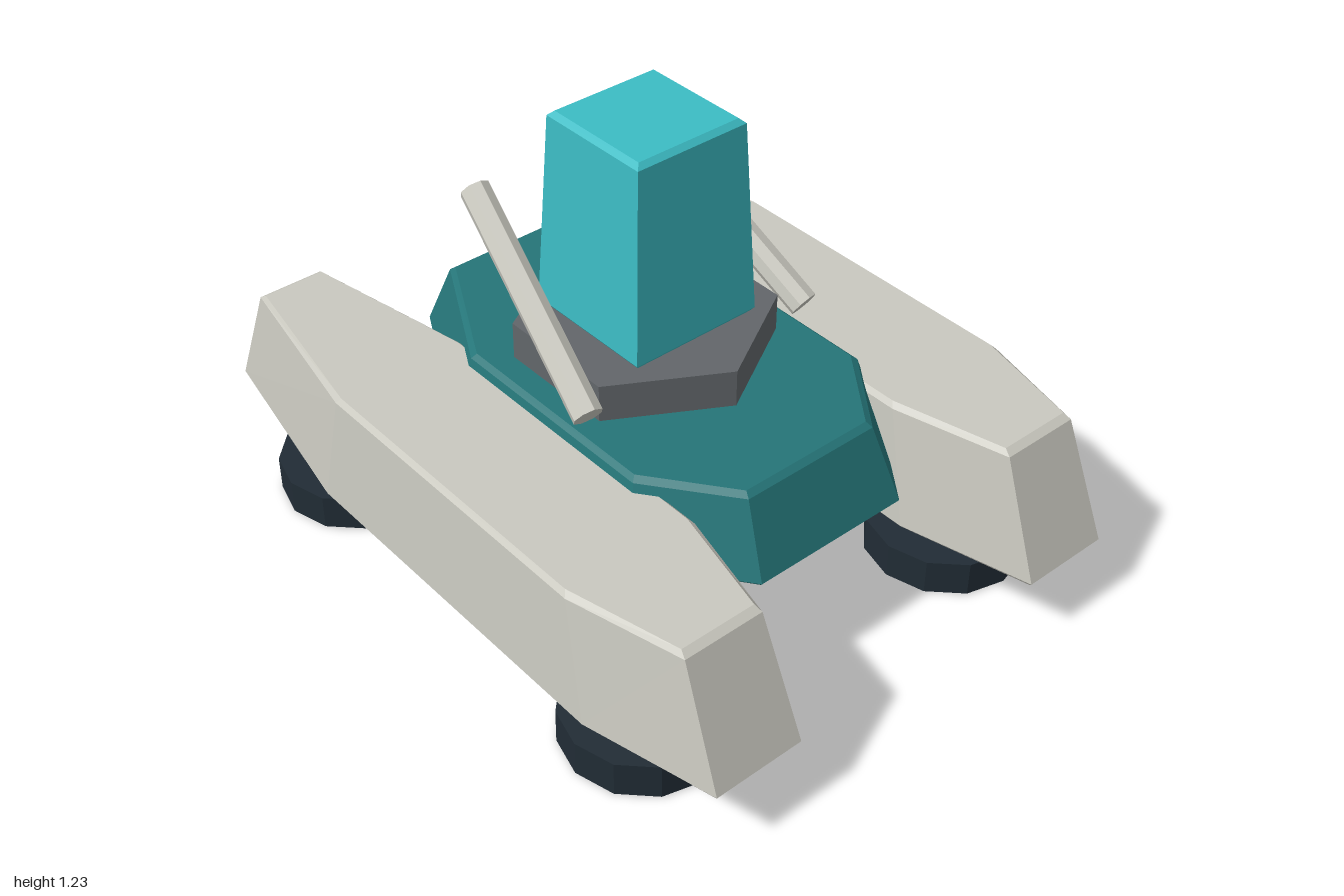
import * as THREE from 'three';

const mat = (name, color) => {
  const m = new THREE.MeshStandardMaterial({ color });
  m.name = name;
  return m;
};

// Flat-shaded solid stacked from scaled copies of one outline; levels are [y, scaleX, scaleZ]
function loft(outline, levels) {
  const rings = levels.map(([y, sx, sz]) => outline.map(([x, z]) => [x * sx, y, z * sz]));
  const n = outline.length, last = rings[rings.length - 1], pos = [];
  const tri = (a, b, c) => pos.push(...a, ...b, ...c);
  for (let r = 0; r < rings.length - 1; r++) {
    for (let i = 0; i < n; i++) {
      const j = (i + 1) % n;
      tri(rings[r][i], rings[r][j], rings[r + 1][j]);
      tri(rings[r][i], rings[r + 1][j], rings[r + 1][i]);
    }
  }
  for (let i = 1; i < n - 1; i++) {
    tri(last[0], last[i], last[i + 1]);
    tri(rings[0][0], rings[0][i + 1], rings[0][i]);
  }
  const g = new THREE.BufferGeometry();
  g.setAttribute('position', new THREE.Float32BufferAttribute(pos, 3));
  g.computeVertexNormals();
  return g;
}

// Eight-sided boat plan with a wider front end (f) and narrower back end (b)
const boatPlan = (f, b) => [
  [-f, 1], [f, 1], [1, 0.64], [1, -0.41], [b, -1], [-b, -1], [-1, -0.41], [-1, 0.64],
];
const squarePlan = [[-1, 1], [1, 1], [1, -1], [-1, -1]];

export function createModel() {
  const model = new THREE.Group();
  model.name = 'hoverTank';
  const shell = mat('paleGrey', 0xc9c8bf);
  const teal = mat('darkTeal', 0x257578);
  const cyan = mat('brightTeal', 0x3cbcc4);
  const steel = mat('steelGrey', 0x62666a);
  const navy = mat('navy', 0x212c35);

  const add = (parent, name, geometry, material, x = 0, y = 0, z = 0) => {
    const mesh = new THREE.Mesh(geometry, material);
    mesh.name = name;
    mesh.position.set(x, y, z);
    parent.add(mesh);
    return mesh;
  };
  const flat = (g) => {
    const f = g.toNonIndexed();
    f.computeVertexNormals();
    return f;
  };

  // Central hull, turret ring and cabin
  add(model, 'hull', loft(boatPlan(0.55, 0.48), [
    [0.345, 0.412, 0.682], [0.355, 0.42, 0.69], [0.548, 0.372, 0.607], [0.56, 0.358, 0.59],
  ]), teal);
  add(model, 'turretRing', flat(new THREE.CylinderGeometry(0.34, 0.34, 0.107, 6)), steel, 0, 0.611, 0);
  add(model, 'cabin', loft(squarePlan, [
    [0.676, 0.185, 0.185], [0.687, 0.193, 0.193], [1.217, 0.168, 0.168], [1.23, 0.154, 0.154],
  ]), cyan);

  const pontoonGeo = loft(boatPlan(0.59, 0.485), [
    [0.185, 0.209, 0.992], [0.195, 0.217, 1], [0.512, 0.192, 0.872], [0.525, 0.18, 0.852],
  ]);
  const padGeo = flat(new THREE.CylinderGeometry(0.215, 0.215, 0.099, 12));
  const glowGeo = new THREE.RingGeometry(0.187, 0.209, 12).rotateX(Math.PI / 2);

  for (const [side, s] of [['left', 1], ['right', -1]]) {
    // Side pontoon
    add(model, side + 'Pontoon', pontoonGeo, shell, s * 0.52);

    // Hover pads with a thin bright ring underneath
    for (const [end, z] of [['Front', 0.607], ['Back', -0.607]]) {
      const pad = new THREE.Group();
      pad.name = side + end + 'HoverPad';
      pad.position.set(s * 0.52, 0, z);
      add(pad, 'padDisc', padGeo, navy, 0, 0.0515, 0);
      add(pad, 'padRing', glowGeo, cyan, 0, 0, 0);
      model.add(pad);
    }

    // Slanted rod beside the cabin
    const low = new THREE.Vector3(s * 0.356, 0.627, 0.205);
    const high = new THREE.Vector3(s * 0.274, 0.976, -0.33);
    const axis = high.clone().sub(low);
    const rod = add(model, side + 'Rod', flat(new THREE.CylinderGeometry(0.04, 0.04, axis.length(), 8)), shell);
    rod.position.copy(low).add(high).multiplyScalar(0.5);
    rod.quaternion.setFromUnitVectors(new THREE.Vector3(0, 1, 0), axis.normalize());
  }
  return model;
}
